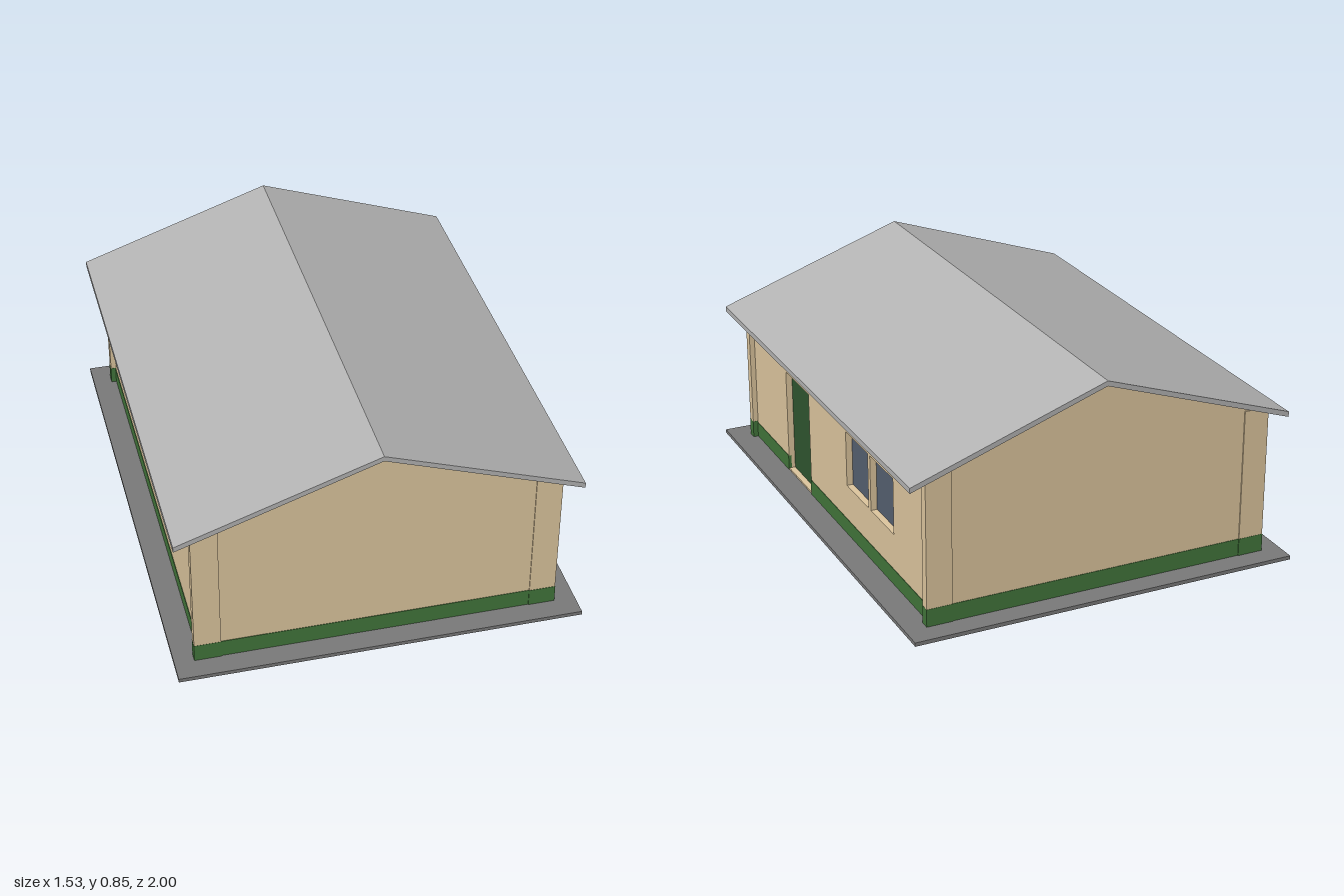
import * as THREE from 'three';

const material = (color) => new THREE.MeshStandardMaterial({ color, flatShading: true });

export function createModel() {
  const house = new THREE.Group();
  house.name = 'house';
  const tan = material(0xdec79f);
  const green = material(0x42763b);
  const doorGreen = material(0x2f552f);
  const glass = material(0x566070);
  const roofGrey = material(0xb4b4b4);
  const slabGrey = material(0x7a7a7a);

  const add = (name, geometry, mat) => {
    const mesh = new THREE.Mesh(geometry, mat);
    mesh.name = name;
    house.add(mesh);
    return mesh;
  };
  // Box given by its two opposite corners
  const box = (name, mat, x0, x1, y0, y1, z0, z1) => {
    const mesh = add(name, new THREE.BoxGeometry(x1 - x0, y1 - y0, z1 - z0), mat);
    mesh.position.set((x0 + x1) / 2, (y0 + y1) / 2, (z0 + z1) / 2);
    return mesh;
  };
  const polygon = (points) => new THREE.Shape(points.map(([x, y]) => new THREE.Vector2(x, y)));
  const extrude = (shape, depth) => new THREE.ExtrudeGeometry(shape, { depth, bevelEnabled: false });

  const base = 0.015;
  const left = 0.683, right = -0.69;       // outer faces of the corner posts
  const wallLeft = 0.662, wallRight = -0.669; // outer faces of the long walls
  const eave = 0.61;

  // Ground slab
  box('groundSlab', slabGrey, -0.765, 0.765, 0, base, -1, 1);

  // Gabled roof, open underneath between its two thin slopes
  const roof = polygon([
    [-0.755, 0.565], [0, 0.825], [0.755, 0.565],
    [0.755, 0.586], [0, 0.845], [-0.755, 0.586],
  ]);
  add('roof', extrude(roof, 1.9), roofGrey).position.z = -0.95;

  // Gable walls, corner posts and their plinths at both ends
  const gable = polygon([
    [right + 0.002, base], [left - 0.002, base], [left - 0.002, 0.598],
    [0, 0.831], [right + 0.002, 0.596],
  ]);
  for (const s of [1, -1]) {
    const end = s > 0 ? 'front' : 'back';
    const span = (a, b) => (s > 0 ? [a, b] : [-b, -a]);
    add(end + 'GableWall', extrude(gable, 0.03), tan).position.z = s > 0 ? 0.881 : -0.911;
    box(end + 'Plinth', green, right + 0.1, left - 0.1, base, 0.083, ...span(0.9, 0.913));
    for (const [side, x] of [['Left', left - 0.1], ['Right', right]]) {
      box(end + side + 'Post', tan, x, x + 0.1, 0.084, 0.603, ...span(0.88, 0.915));
      box(end + side + 'PostPlinth', green, x - 0.001, x + 0.101, base, 0.084, ...span(0.879, 0.916));
    }
  }

  // Plain right wall
  box('rightWall', tan, wallRight, wallRight + 0.04, base, 0.59, -0.88, 0.88);
  box('rightPlinth', green, wallRight - 0.002, wallRight + 0.01, base, 0.077, -0.879, 0.879);

  // Left wall with recessed door and windows; openings are [z0, z1, y0, y1]
  const door = [0.262, 0.512, 0.022, 0.443];
  const windows = [[-0.34, -0.125, 0.22, 0.443], [-0.577, -0.362, 0.22, 0.443]];
  const wall = polygon([[-0.88, base], [0.88, base], [0.88, 0.59], [-0.88, 0.59]]);
  for (const [z0, z1, y0, y1] of [door, ...windows]) {
    // The wall is drawn with its horizontal axis along -z
    wall.holes.push(polygon([[-z1, y0], [-z1, y1], [-z0, y1], [-z0, y0]]));
  }
  const leftWall = add('leftWall', extrude(wall, 0.04), tan);
  leftWall.rotation.y = Math.PI / 2;
  leftWall.position.x = wallLeft - 0.04;

  const panel = (name, mat, [z0, z1, y0, y1]) =>
    box(name, mat, wallLeft - 0.038, wallLeft - 0.025, y0, y1, z0, z1);
  panel('door', doorGreen, door);
  windows.forEach((w, i) => panel('window' + (i + 1), glass, w));

  // Left plinth, broken by the door
  for (const [z0, z1] of [[-0.879, door[0]], [door[1], 0.879]]) {
    box('leftPlinth', green, wallLeft - 0.01, wallLeft + 0.002, base, 0.077, z0, z1);
  }

  return house;
}
